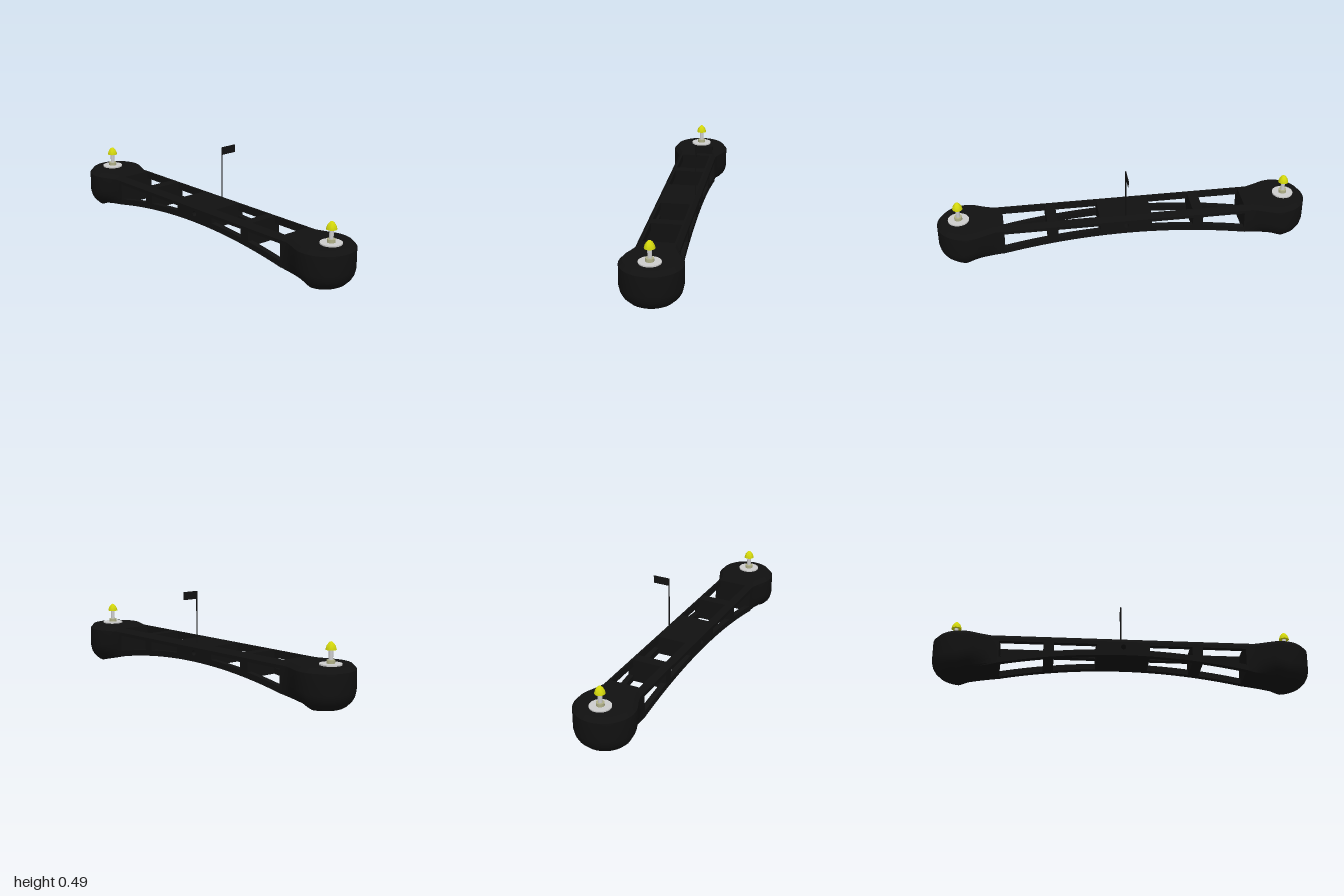
import * as THREE from 'three';
import { toCreasedNormals } from 'three/addons/utils/BufferGeometryUtils.js';

const TOP = 0.212, SHOULDER = 0.19, HALF = 0.11, INNER = 0.08;
const black = new THREE.MeshStandardMaterial({ color: 0x111111 });
const grey = new THREE.MeshStandardMaterial({ color: 0xcccccc });
const beige = new THREE.MeshStandardMaterial({ color: 0xb0b088 });
const yellow = new THREE.MeshStandardMaterial({ color: 0xd2d60c });

// height of the arched underside
const arch = (x) => Math.max(0, 0.113 * (1 - (x / 0.87) ** 2));

function add(parent, name, geometry, material, x = 0, y = 0, z = 0) {
  const mesh = new THREE.Mesh(geometry, material);
  mesh.name = name;
  mesh.position.set(x, y, z);
  parent.add(mesh);
  return mesh;
}

// side-view outline between two x values: arched below (lifted), flat on top
function archedOutline(Type, x0, x1, lift, top) {
  const pts = [];
  const n = Math.ceil((x1 - x0) / 0.04);
  for (let i = 0; i <= n; i++) {
    const x = x0 + ((x1 - x0) * i) / n;
    pts.push(new THREE.Vector2(x, arch(x) + lift));
  }
  pts.push(new THREE.Vector2(x1, top), new THREE.Vector2(x0, top));
  return new Type(pts);
}

function boreHole(shape) {
  shape.holes.push(new THREE.Path().absarc(0, 0.16, 0.014, 0, Math.PI * 2, true));
}

const extrude = (shape, depth) =>
  new THREE.ExtrudeGeometry(shape, { depth, bevelEnabled: false, curveSegments: 12 });

// teardrop end pod: stacked rings of an inset outline, capped with strips
function podGeometry() {
  const half = [[0.65, HALF, 0, 1], [0.695, HALF, -0.15, 0.99], [0.74, 0.127, -0.37, 0.93]];
  const cx = 0.8425, r = 0.1575, steps = 24, start = 1.96;
  for (let i = 0; i <= steps; i++) {
    const a = start * (1 - i / steps);
    half.push([cx + r * Math.cos(a), r * Math.sin(a), Math.cos(a), Math.sin(a)]);
  }
  const mirrored = half.slice(0, -1).reverse().map(([x, z, nx, nz]) => [x, -z, nx, -nz]);
  const outline = [...half, ...mirrored];
  const N = outline.length;

  // [inset, height]; lower levels follow the arch and fade out at the neck
  const lower = [[0.06, 0], [0.045, 0.008], [0.02, 0.032], [0.007, 0.055], [0, 0.085]];
  const upper = [[0, SHOULDER], [0.02, TOP]];
  const pos = [], idx = [];
  const ring = ([inset, y], follow) => {
    for (const [x, z, nx, nz] of outline) {
      const k = inset * (follow ? THREE.MathUtils.smoothstep(x, 0.66, 0.82) : 1);
      pos.push(x - nx * k, y + (follow ? arch(x) : 0), z - nz * k);
    }
  };
  lower.forEach((l) => ring(l, true));
  upper.forEach((l) => ring(l, false));

  const rings = lower.length + upper.length;
  for (let j = 0; j < rings - 1; j++) {
    for (let i = 0; i < N; i++) {
      const k = (i + 1) % N, a = j * N, b = a + N;
      idx.push(a + i, a + k, b + k, a + i, b + k, b + i);
    }
  }
  const t = (rings - 1) * N;
  for (let i = 0; i < (N - 1) / 2; i++) {
    const k = i + 1, m = N - 2 - i, e = N - 1 - i;
    idx.push(t + i, t + k, t + e, e, k, i);
    if (k !== m) idx.push(t + k, t + m, t + e, e, m, k);
  }
  const g = new THREE.BufferGeometry();
  g.setAttribute('position', new THREE.Float32BufferAttribute(pos, 3));
  g.setIndex(idx);
  return toCreasedNormals(g, 0.5);
}

// flange, nut, shaft and pointed cap
function makePin() {
  const pin = new THREE.Group();
  pin.name = 'pin';
  const disc = (name, r, y0, y1, mat) =>
    add(pin, name, new THREE.CylinderGeometry(r, r, y1 - y0, 32), mat, 0, (y0 + y1) / 2);
  disc('pinFlange', 0.056, 0.205, 0.219, grey);
  disc('pinNut', 0.021, 0.219, 0.236, beige);
  disc('pinShaft', 0.011, 0.219, 0.287, grey);
  const profile = [[0, 0.285], [0.027, 0.285], [0.0265, 0.29], [0.022, 0.304],
    [0.015, 0.315], [0.007, 0.323], [0, 0.326]].map((p) => new THREE.Vector2(...p));
  add(pin, 'pinCap', toCreasedNormals(new THREE.LatheGeometry(profile, 32), 0.7), yellow);
  return pin;
}

export function createModel() {
  const model = new THREE.Group();
  model.name = 'bridge';
  const body = new THREE.Group();
  body.name = 'body';
  body.position.z = 0.0105;
  model.add(body);

  // end pods with their pins
  const pod = podGeometry();
  for (const side of [1, -1]) {
    const end = new THREE.Group();
    end.name = side > 0 ? 'leftEnd' : 'rightEnd';
    if (side < 0) end.rotation.y = Math.PI;
    add(end, 'pod', pod, black);
    const pin = makePin();
    pin.position.x = 0.885;
    end.add(pin);
    body.add(end);
  }

  // side plates with window openings
  const plate = archedOutline(THREE.Shape, -0.66, 0.66, 0, SHOULDER);
  for (const [a, b] of [[0.14, 0.365], [0.42, 0.65]]) {
    plate.holes.push(archedOutline(THREE.Path, a, b, 0.032, 0.172));
    plate.holes.push(archedOutline(THREE.Path, -b, -a, 0.032, 0.172));
  }
  boreHole(plate);
  const plateGeo = extrude(plate, HALF - INNER);
  add(body, 'frontSidePlate', plateGeo, black, 0, 0, INNER);
  add(body, 'backSidePlate', plateGeo, black, 0, 0, -HALF);

  // chamfered strips along the top edges
  const strip = new THREE.Shape([[-HALF, SHOULDER], [-INNER, SHOULDER], [-INNER, TOP],
    [-HALF + 0.02, TOP]].map((p) => new THREE.Vector2(...p)));
  const stripGeo = extrude(strip, 1.32).translate(0, 0, -0.66);
  for (const side of [1, -1]) {
    add(body, 'topRail', stripGeo, black).rotation.y = (side * Math.PI) / 2;
  }

  // solid blocks between the windows
  for (const [a, b] of [[-0.14, 0.14], [0.365, 0.42], [-0.42, -0.365]]) {
    const block = archedOutline(THREE.Shape, a, b, 0, TOP);
    const centre = a < 0 && b > 0;
    if (centre) boreHole(block);
    add(body, centre ? 'centreBlock' : 'crossBlock', extrude(block, 2 * INNER), black, 0, 0, -INNER);
  }

  // flag on a thin pole
  add(model, 'flagPole', new THREE.CylinderGeometry(0.0033, 0.0033, 0.29, 12), black, 0, 0.345, -0.077);
  add(model, 'flag', new THREE.BoxGeometry(0.003, 0.042, 0.094), black, 0, 0.471, -0.121);
  return model;
}
